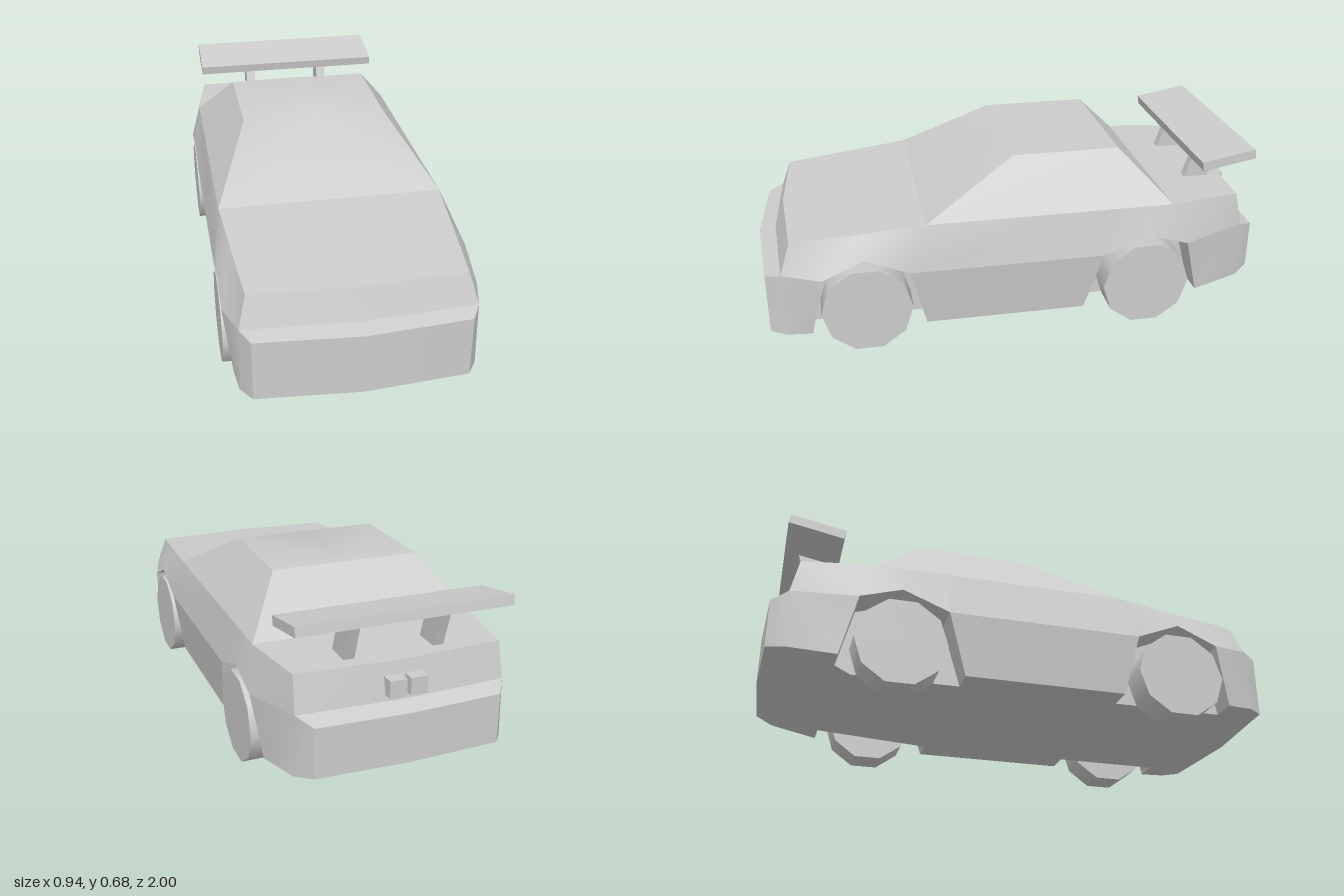
import * as THREE from 'three';
import { toCreasedNormals } from 'three/addons/utils/BufferGeometryUtils.js';

const material = new THREE.MeshStandardMaterial({ color: 0xcccccc });
const v = (x, y, z) => new THREE.Vector3(x, y, z);

// Half-body surface between two polylines running front to rear, mirrored across x = 0.
function strip(name, a, b) {
  const pos = [];
  const tri = (p, q, r) => {
    const area = q.clone().sub(p).cross(r.clone().sub(p)).length();
    if (area < 1e-6) return;
    for (const c of [p, q, r]) pos.push(c.x, c.y, c.z);
    for (const c of [p, r, q]) pos.push(-c.x, c.y, c.z);
  };
  for (let i = 0; i < a.length - 1; i++) {
    tri(a[i], a[i + 1], b[i + 1]);
    tri(a[i], b[i + 1], b[i]);
  }
  const geo = new THREE.BufferGeometry();
  geo.setAttribute('position', new THREE.Float32BufferAttribute(pos, 3));
  return named(name, toCreasedNormals(geo, 0.5));
}

function named(name, geo) {
  const mesh = new THREE.Mesh(geo, material);
  mesh.name = name;
  return mesh;
}

export function createModel() {
  const car = new THREE.Group();
  car.name = 'car';

  // Wheel arch outlines, front to rear
  const frontArch = [v(0.44, 0.07, 0.81), v(0.47, 0.31, 0.76), v(0.47, 0.38, 0.6), v(0.47, 0.31, 0.43), v(0.44, 0.07, 0.37)];
  const rearArch = [v(0.44, 0.07, -0.26), v(0.47, 0.31, -0.33), v(0.47, 0.38, -0.51), v(0.47, 0.33, -0.67), v(0.44, 0.1, -0.73)];

  // Shared corner points
  const noseCorner = v(0.425, 0.325, 0.91), noseMid = v(0, 0.325, 0.935);
  const tailCorner = v(0.395, 0.355, -0.92), tailMid = v(0, 0.355, -0.94);
  const hoodCorner = v(0.395, 0.44, 0.87), hoodMid = v(0, 0.44, 0.895);
  const deckCorner = v(0.39, 0.49, -0.89), deckMid = v(0, 0.49, -0.91);
  const cowl = v(0.435, 0.49, 0.36), deckFront = v(0.435, 0.49, -0.61);
  const roofFront = v(0.29, 0.685, 0), roofRear = v(0.29, 0.685, -0.42);
  const mid = (p) => v(0, p.y, p.z);

  // Upper body wall from nose to tail
  car.add(strip('upperBody',
    [noseMid, noseCorner, ...frontArch.slice(1, 4), ...rearArch.slice(1, 4), tailCorner, tailMid],
    [hoodMid, hoodCorner, v(0.404, 0.451, 0.76), v(0.416, 0.466, 0.6), cowl, v(0.435, 0.49, -0.33),
      v(0.435, 0.49, -0.51), deckFront, deckCorner, deckMid]));

  // Bumpers, their ledges and the sills
  const bumperTop = [v(0, 0.31, 1), v(0.39, 0.31, 0.97)];
  const bumperBase = [v(0, 0.07, 1), v(0.39, 0.07, 0.97), v(0.43, 0.07, 0.91)];
  const rearTop = [v(0.35, 0.33, -0.985), v(0, 0.33, -1)];
  const rearBase = [v(0.4, 0.125, -0.92), v(0.35, 0.14, -0.985), v(0, 0.14, -1)];
  car.add(strip('frontBumper', [...bumperBase, frontArch[0]], [...bumperTop, noseCorner, frontArch[1]]));
  car.add(strip('frontLedge', [...bumperTop, noseCorner], [noseMid, noseCorner, noseCorner]));
  car.add(strip('sill', [frontArch[4], rearArch[0]], [frontArch[3], rearArch[1]]));
  car.add(strip('rearBumper', [rearArch[4], ...rearBase], [rearArch[3], tailCorner, ...rearTop]));
  car.add(strip('rearLedge', [tailCorner, ...rearTop], [tailCorner, tailCorner, tailMid]));

  // Hood, cabin and rear deck
  car.add(strip('hood', [hoodCorner, cowl], [hoodMid, mid(cowl)]));
  const ridge = [cowl, roofFront, roofRear, deckFront];
  car.add(strip('windshieldRoofAndRearWindow', ridge, ridge.map(mid)));
  car.add(strip('sideWindow', [cowl, deckFront], [roofFront, roofRear]));
  car.add(strip('rearDeck', [deckFront, deckCorner], [mid(deckFront), deckMid]));

  // Floor, notched at the wheel wells
  const inset = (p) => v(0.34, p.y, p.z);
  const floorEdge = [bumperBase[1], bumperBase[2]];
  for (const arch of [frontArch, rearArch])
    floorEdge.push(arch[0], inset(arch[0]), inset(arch[4]), arch[4]);
  floorEdge.push(rearBase[0], rearBase[1]);
  const floorMid = floorEdge.map(mid);
  floorMid[0].z = 1;
  floorMid[floorMid.length - 1].z = -1;
  car.add(strip('floor', floorMid, floorEdge));

  // Wheel wells: arched lining and inner wall
  for (const arch of [frontArch, rearArch]) {
    const inner = arch.map(inset);
    const base = inner.map((p, i) => v(p.x, i === 4 ? p.y : arch[0].y, p.z));
    car.add(strip('wheelWellLining', inner, arch));
    car.add(strip('wheelWellWall', base, inner));
  }

  // Ten-sided wheels
  const wheelGeo = new THREE.CylinderGeometry(0.175, 0.175, 0.127, 10).rotateZ(Math.PI / 2);
  for (const side of [1, -1]) {
    for (const z of [0.598, -0.507]) {
      const wheel = named(z > 0 ? 'frontWheel' : 'rearWheel', wheelGeo);
      wheel.position.set(side * 0.4085, 0.1665, z);
      car.add(wheel);
    }
  }

  // Tilted wing on two raked struts
  const wing = named('wing', new THREE.BoxGeometry(0.806, 0.037, 0.217));
  wing.position.set(0, 0.643, -0.84);
  wing.rotation.x = 0.18;
  car.add(wing);
  const rake = new THREE.Shape([[-0.845, 0.485], [-0.745, 0.485], [-0.79, 0.62], [-0.895, 0.638]]
    .map(([z, y]) => new THREE.Vector2(z, y)));
  const strutGeo = new THREE.ExtrudeGeometry(rake, { depth: 0.04, bevelEnabled: false })
    .rotateY(-Math.PI / 2).translate(0.02, 0, 0);

  // Struts and the paired tail outlets
  for (const side of [1, -1]) {
    const strut = named('wingStrut', strutGeo);
    strut.position.x = side * 0.17;
    const outlet = named('tailOutlet', new THREE.BoxGeometry(0.064, 0.065, 0.075));
    outlet.position.set(side * 0.039, 0.41, -0.93);
    car.add(strut, outlet);
  }
  return car;
}
